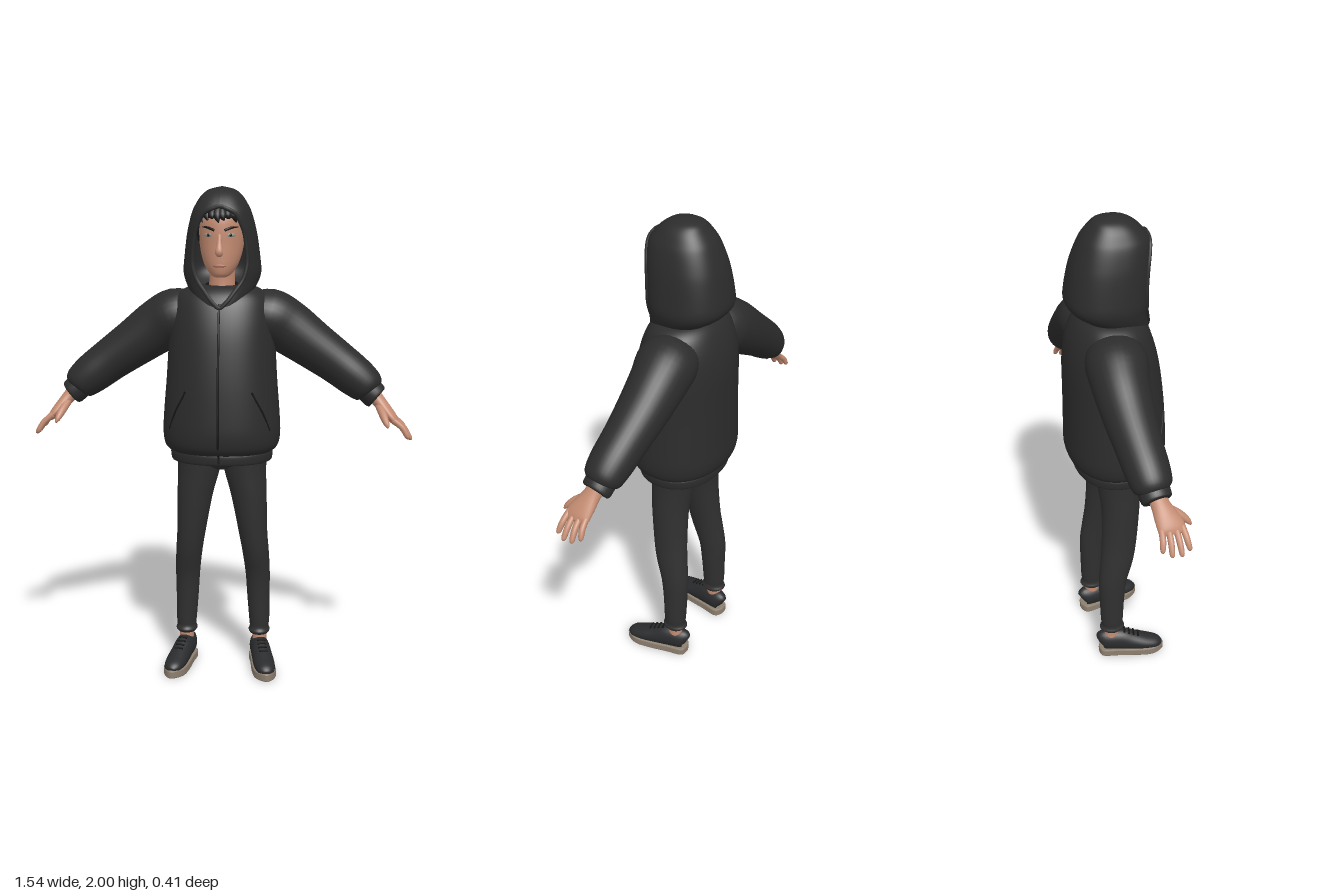
import * as THREE from 'three';

const mat = (name, color, side = THREE.FrontSide) => {
  const m = new THREE.MeshStandardMaterial({ color, side });
  m.name = name;
  return m;
};
const V = (x, y, z) => new THREE.Vector3(x, y, z);
const spow = (v, e) => Math.sign(v) * Math.abs(v) ** e;

// Catmull-Rom smoothing of rows of numbers, n steps between rows
function smooth(rows, n = 4) {
  const out = [], at = (i) => rows[Math.min(Math.max(i, 0), rows.length - 1)];
  for (let i = 0; i < rows.length - 1; i++) {
    for (let k = 0; k < n; k++) {
      const t = k / n, [a, b, c, d] = [at(i - 1), at(i), at(i + 1), at(i + 2)];
      out.push(b.map((_, j) => 0.5 * (2 * b[j] + (c[j] - a[j]) * t
        + (2 * a[j] - 5 * b[j] + 4 * c[j] - d[j]) * t * t
        + (3 * b[j] - a[j] - 3 * c[j] + d[j]) * t * t * t)));
    }
  }
  out.push(rows[rows.length - 1]);
  return out;
}

// Surface over a grid of rings; closed rings also get end caps
function skin(grid, closed = true) {
  const n = grid[0].length, pts = grid.flat(), idx = [];
  for (let i = 0; i < grid.length - 1; i++) {
    for (let j = 0; j < (closed ? n : n - 1); j++) {
      const k = (j + 1) % n, a = i * n + j, b = i * n + k;
      idx.push(a, b, a + n, b, b + n, a + n);
    }
  }
  if (closed) {
    [0, grid.length - 1].forEach((r, end) => {
      const mid = grid[r].reduce((s, p) => s.add(p), V(0, 0, 0)).divideScalar(n);
      const c = pts.push(mid) - 1;
      for (let j = 0; j < n; j++) {
        const a = r * n + j, b = r * n + (j + 1) % n;
        idx.push(c, ...(end ? [a, b] : [b, a]));
      }
    });
  }
  const g = new THREE.BufferGeometry().setFromPoints(pts);
  g.setIndex(idx);
  g.computeVertexNormals();
  return g;
}

// Point on a level ring; row = [y, cx, rx, zFront, zBack]
const ringPoint = ([y, cx, rx, zf, zb], a, e) =>
  V(cx + rx * spow(Math.cos(a), e), y, (zf + zb) / 2 - (zf - zb) / 2 * spow(Math.sin(a), e));

// Level rings stacked upward
function stack(rows, e = 1, seg = 36) {
  return skin(smooth(rows).map((r) =>
    Array.from({ length: seg }, (_, j) => ringPoint(r, j / seg * 2 * Math.PI, e))));
}

// Rings square to a path; row = [x, y, z, radiusU, radiusV]
function limb(rows, seg = 20, ref = V(0, 0, 1)) {
  const s = smooth(rows), p = s.map((r) => V(r[0], r[1], r[2]));
  return skin(s.map((r, i) => {
    const t = p[Math.min(i + 1, p.length - 1)].clone().sub(p[Math.max(i - 1, 0)]).normalize();
    const u = ref.clone().cross(t).normalize(), v = t.clone().cross(u);
    return Array.from({ length: seg }, (_, j) => {
      const a = j / seg * 2 * Math.PI;
      return p[i].clone().addScaledVector(u, r[3] * Math.cos(a)).addScaledVector(v, r[4] * Math.sin(a));
    });
  }));
}

// Front z of a stack at a given x and y
function frontZ(rows, x, y, e = 1) {
  const i = Math.max(0, rows.findIndex((r) => r[0] > y) - 1);
  const t = (y - rows[i][0]) / (rows[i + 1][0] - rows[i][0]);
  const [, , rx, zf, zb] = rows[i].map((v, j) => v + (rows[i + 1][j] - v) * t);
  const c = Math.min(1, (Math.abs(x) / rx) ** (1 / e));
  return (zf + zb) / 2 + (zf - zb) / 2 * Math.sqrt(1 - c * c) ** e;
}

const TORSO = [[0.945, 0, 0.2, 0.155, -0.16], [0.97, 0, 0.228, 0.187, -0.187], [1.02, 0, 0.238, 0.2, -0.2],
  [1.1, 0, 0.235, 0.2, -0.2], [1.25, 0, 0.223, 0.19, -0.2], [1.4, 0, 0.214, 0.17, -0.2],
  [1.5, 0, 0.205, 0.145, -0.187], [1.57, 0, 0.185, 0.115, -0.16], [1.605, 0, 0.14, 0.08, -0.13], [1.615, 0, 0.08, 0.05, -0.1]];
const HEAD = [[1.65, 0, 0.02, 0.088, 0.04], [1.66, 0, 0.04, 0.106, 0], [1.69, 0, 0.062, 0.115, -0.05],
  [1.73, 0, 0.078, 0.117, -0.09], [1.78, 0, 0.088, 0.117, -0.12], [1.83, 0, 0.092, 0.118, -0.135],
  [1.88, 0, 0.09, 0.112, -0.13], [1.92, 0, 0.07, 0.085, -0.11], [1.945, 0, 0.03, 0.03, -0.06]];
// Hood rows carry the half width of the face opening as a sixth number
const HOOD = [[1.53, 0, 0.09, 0.132, -0.09, 0], [1.56, 0, 0.11, 0.13, -0.1, 0.03], [1.6, 0, 0.13, 0.124, -0.12, 0.06],
  [1.635, 0, 0.147, 0.122, -0.168, 0.085], [1.67, 0, 0.155, 0.125, -0.19, 0.1], [1.72, 0, 0.151, 0.13, -0.188, 0.107],
  [1.8, 0, 0.141, 0.135, -0.173, 0.1], [1.85, 0, 0.131, 0.137, -0.158, 0.087], [1.9, 0, 0.117, 0.133, -0.138, 0.058],
  [1.93, 0, 0.103, 0.118, -0.122, 0], [1.965, 0, 0.08, 0.085, -0.094, 0], [1.988, 0, 0.05, 0.045, -0.068, 0], [2, 0, 0.001, -0.012, -0.014, 0]];

export function createModel() {
  const root = new THREE.Group();
  root.name = 'hoodedFigure';
  const cloth = mat('charcoalJacket', 0x2c2c2c, THREE.DoubleSide), pants = mat('charcoalTrousers', 0x303030);
  const trim = mat('blackTrim', 0x161616), skinM = mat('skin', 0xc48c72), hairM = mat('blackHair', 0x191818);
  const shoeM = mat('shoeFabric', 0x2a2b2d), soleM = mat('taupeSole', 0x8c7f6f);
  const lipM = mat('lips', 0xa96b5a), eyeM = mat('greyEyes', 0x8f9488);
  const add = (name, geo, m, parent = root) => {
    const mesh = new THREE.Mesh(geo, m);
    mesh.name = name;
    parent.add(mesh);
    return mesh;
  };
  const tube = (pts, r) => new THREE.TubeGeometry(new THREE.CatmullRomCurve3(pts), 48, r, 8);

  // Jacket body, hem band and zip
  add('jacketBody', stack(TORSO, 0.92, 56), cloth);
  add('jacketHem', stack([[0.908, 0, 0.195, 0.15, -0.155], [0.914, 0, 0.205, 0.161, -0.165],
    [0.945, 0, 0.208, 0.164, -0.168], [0.958, 0, 0.2, 0.158, -0.16]], 0.92, 56), cloth);
  const zip = [V(0, 0.92, 0.162), V(0, 0.95, 0.163)];
  for (let y = 0.99; y < 1.56; y += 0.04) zip.push(V(0, y, frontZ(TORSO, 0, y, 0.92)));
  add('zip', tube(zip, 0.005), trim);

  // Hood shell and rolled rim around the face
  const edge = [];
  const hood = smooth(HOOD).map((r) => {
    const open = Math.asin((Math.max(0, r[5]) / r[2]) ** (1 / 0.85));
    const ring = Array.from({ length: 49 }, (_, j) =>
      ringPoint(r, -Math.PI / 2 + open + j / 48 * (2 * Math.PI - 2 * open), 0.85));
    if (open > 0.02) edge.push(ring[0]);
    return ring;
  });
  add('hood', skin(hood, false), cloth);
  const other = edge.map((p) => V(-p.x, p.y, p.z)).reverse();
  add('hoodRim', new THREE.TubeGeometry(new THREE.CatmullRomCurve3([...edge, ...other], true), 120, 0.008, 8, true), cloth);

  // Head, neck, nose, mouth and hair
  add('head', stack(HEAD), skinM);
  add('neck', stack([[1.56, 0, 0.058, 0.055, -0.08], [1.62, 0, 0.052, 0.045, -0.075], [1.72, 0, 0.052, 0.05, -0.075]]), skinM);
  add('shirtCollar', new THREE.TorusGeometry(0.06, 0.01, 8, 32).rotateX(Math.PI / 2 + 0.2).translate(0, 1.61, -0.01), trim);
  add('nose', limb([[0, 1.825, 0.108, 0.009, 0.008], [0, 1.785, 0.12, 0.01, 0.009],
    [0, 1.75, 0.129, 0.016, 0.013], [0, 1.737, 0.122, 0.01, 0.008]]), skinM);
  add('mouth', new THREE.SphereGeometry(1, 20, 10).scale(0.025, 0.007, 0.005).translate(0, 1.697, 0.113), lipM);
  add('hairCap', stack([[1.88, 0, 0.093, 0.114, -0.136], [1.9, 0, 0.088, 0.11, -0.13], [1.925, 0, 0.074, 0.09, -0.115],
    [1.95, 0, 0.04, 0.045, -0.075], [1.957, 0, 0.01, 0, -0.03]]), hairM);
  for (let i = 0; i < 8; i++) {
    const x = -0.07 + i * 0.02, tip = 1.862 + (i % 3) * 0.008, b = x * 1.1 + 0.008;
    add('fringeLock', limb([[x * 0.8, 1.925, frontZ(HEAD, x * 0.8, 1.92) - 0.002, 0.012, 0.01],
      [x, 1.89, frontZ(HEAD, x, 1.89) + 0.004, 0.015, 0.01],
      [b, tip, frontZ(HEAD, b, tip) + 0.003, 0.002, 0.002]], 10), hairM);
  }

  for (const s of [1, -1]) {
    const side = new THREE.Group();
    side.name = s > 0 ? 'leftSide' : 'rightSide';
    root.add(side);
    const flip = (rows) => rows.map(([x, ...rest]) => [s * x, ...rest]);

    // Eye, brow and sideburn
    const spot = (name, x, y, w, h, m, lift) => add(name, new THREE.SphereGeometry(1, 16, 10).scale(w, h, 0.004)
      .rotateY(s * 0.4).translate(s * x, y, frontZ(HEAD, x, y) + lift), m, side);
    spot('eye', 0.043, 1.815, 0.019, 0.008, eyeM, 0);
    spot('pupil', 0.043, 1.815, 0.006, 0.006, trim, 0.002);
    add('brow', limb(flip([0.02, 0.045, 0.068].map((x, i) => {
      const y = [1.833, 1.843, 1.845][i];
      return [x, y, frontZ(HEAD, x, y) + 0.001, [0.005, 0.005, 0.002][i], 0.004];
    })), 10), hairM, side);
    add('sideburn', limb(flip([[0.088, 1.9, 0.03, 0.01, 0.03], [0.092, 1.85, 0.03, 0.007, 0.025],
      [0.09, 1.79, 0.025, 0.003, 0.008]]), 12), hairM, side);

    // Pocket edge
    add('pocketEdge', tube([[0.13, 1.21], [0.15, 1.17], [0.175, 1.12], [0.2, 1.05]].map(([x, y]) =>
      V(s * x, y, frontZ(TORSO, x, y, 0.92))), 0.004), trim, side);

    // Sleeve and cuff
    add('sleeve', limb(flip([[0.1, 1.5, -0.04, 0.08, 0.1], [0.18, 1.488, -0.045, 0.112, 0.12], [0.26, 1.445, -0.055, 0.11, 0.11],
      [0.36, 1.375, -0.055, 0.098, 0.1], [0.46, 1.305, -0.05, 0.088, 0.09], [0.54, 1.245, -0.042, 0.082, 0.085],
      [0.59, 1.205, -0.037, 0.07, 0.075], [0.605, 1.19, -0.035, 0.05, 0.055]]), 32), cloth, side);
    add('cuff', limb(flip([[0.58, 1.206, -0.036, 0.05, 0.056], [0.595, 1.192, -0.035, 0.054, 0.06],
      [0.62, 1.169, -0.032, 0.053, 0.059], [0.627, 1.163, -0.031, 0.046, 0.052]]), 28), cloth, side);

    // Hand: palm, four fingers and thumb
    add('palm', limb(flip([[0.61, 1.18, -0.03, 0.03, 0.036], [0.635, 1.15, -0.022, 0.027, 0.036], [0.665, 1.115, -0.01, 0.024, 0.046],
      [0.693, 1.083, 0.002, 0.019, 0.053], [0.708, 1.064, 0.004, 0.011, 0.045]]), 24), skinM, side);
    [[-0.036, -0.047, 0.748, 1.02], [-0.01, -0.016, 0.762, 1.004], [0.017, 0.02, 0.764, 1.002], [0.042, 0.053, 0.752, 1.012]]
      .forEach(([z0, z1, x, y]) => add('finger', limb(flip([[0.69, 1.086, z0, 0.012, 0.012],
        [(0.69 + x) / 2 + 0.006, (1.086 + y) / 2 + 0.006, (z0 + z1) / 2, 0.012, 0.012],
        [x - 0.005, y + 0.01, z1, 0.01, 0.01], [x, y, z1, 0.004, 0.004]]), 12), skinM, side));
    add('thumb', limb(flip([[0.635, 1.135, 0, 0.016, 0.016], [0.65, 1.105, 0.045, 0.016, 0.016],
      [0.662, 1.078, 0.074, 0.012, 0.012], [0.669, 1.062, 0.086, 0.004, 0.004]]), 12), skinM, side);

    // Trouser leg and ankle
    add('trouserLeg', stack([[0.135, 0.155, 0.038, -0.014, -0.098], [0.148, 0.155, 0.045, -0.002, -0.11], [0.165, 0.155, 0.04, -0.01, -0.102],
      [0.2, 0.155, 0.043, -0.008, -0.105], [0.3, 0.151, 0.047, -0.002, -0.108], [0.4, 0.148, 0.051, 0.01, -0.11],
      [0.5, 0.14, 0.055, 0.04, -0.1], [0.6, 0.128, 0.06, 0.058, -0.09], [0.75, 0.112, 0.073, 0.073, -0.085],
      [0.85, 0.097, 0.085, 0.08, -0.095], [0.92, 0.091, 0.092, 0.085, -0.105], [1, 0.091, 0.092, 0.085, -0.105]]
      .map(([y, x, ...r]) => [y, s * x, ...r])), pants, side);
    add('ankle', stack([[0.08, s * 0.157, 0.03, -0.025, -0.092], [0.16, s * 0.155, 0.03, -0.025, -0.09]]), skinM, side);

    // Shoe, turned slightly outward
    const shoe = new THREE.Group();
    shoe.name = 'shoe';
    shoe.position.set(s * 0.155, 0, -0.06);
    shoe.rotation.y = s * 0.2;
    side.add(shoe);
    const outline = new THREE.Shape();
    outline.moveTo(0, -0.05);
    outline.splineThru([[0.032, -0.035], [0.036, 0.03], [0.043, 0.12], [0.038, 0.185], [0, 0.226],
      [-0.038, 0.185], [-0.043, 0.12], [-0.036, 0.03], [-0.032, -0.035], [0, -0.05]].map(([x, y]) => new THREE.Vector2(x, y)));
    add('sole', new THREE.ExtrudeGeometry(outline, { depth: 0.024, bevelSize: 0.005, bevelThickness: 0.005, bevelSegments: 2, curveSegments: 48 })
      .rotateX(Math.PI / 2).translate(0, 0.029, 0), soleM, shoe);
    add('shoeUpper', limb([[0, 0.065, -0.05, 0.03, 0.018], [0, 0.07, -0.038, 0.046, 0.032], [0, 0.07, -0.01, 0.05, 0.039],
      [0, 0.068, 0.04, 0.053, 0.041], [0, 0.057, 0.09, 0.044, 0.043], [0, 0.046, 0.15, 0.033, 0.044],
      [0, 0.038, 0.2, 0.024, 0.035], [0, 0.033, 0.222, 0.01, 0.014]], 28, V(1, 0, 0)), shoeM, shoe);
    for (let i = 0; i < 4; i++) {
      add('lace', new THREE.BoxGeometry(0.036, 0.006, 0.007).rotateX(0.4)
        .translate(0, 0.117 - i * 0.0085, 0.058 + i * 0.02), trim, shoe);
    }
  }

  // Seat of the trousers joining the legs
  add('trouserSeat', stack([[0.865, 0, 0.04, 0.03, -0.05], [0.885, 0, 0.1, 0.07, -0.09],
    [0.92, 0, 0.16, 0.085, -0.108], [1, 0, 0.18, 0.09, -0.11]]), pants);
  return root;
}
